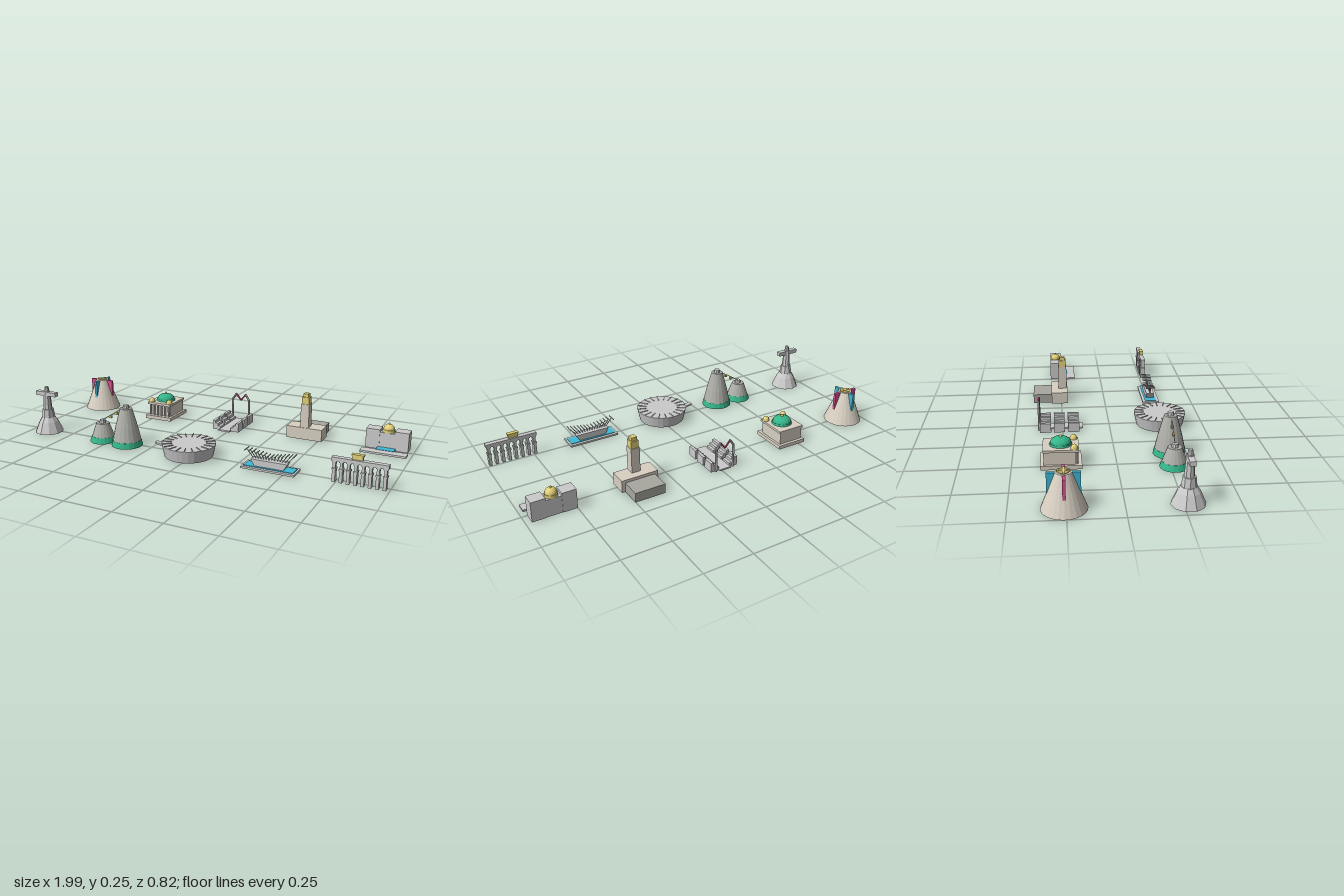
import * as THREE from 'three';

const mats = {};
const mat = (c) => (mats[c] ??= new THREE.MeshStandardMaterial({ color: c, flatShading: true, side: THREE.DoubleSide }));
const GREY = 0xcccccc, BEIGE = 0xd8d0c2, YELLOW = 0xe4d27a, GREEN = 0x35b58a, BLUE = 0x40b8d6, PINK = 0xd8508f;

const add = (g, name, geo, color = GREY, x = 0, y = 0, z = 0) => {
  const m = new THREE.Mesh(geo, mat(color));
  m.name = name;
  m.position.set(x, y, z);
  g.add(m);
  return m;
};
// Box given by its bottom centre and its size
const box = (g, name, x, y, z, w, h, d, c) => add(g, name, new THREE.BoxGeometry(w, h, d), c, x, y + h / 2, z);
// Upright frustum given by its bottom centre
const cyl = (g, name, x, y, z, rBottom, rTop, h, n, c) =>
  add(g, name, new THREE.CylinderGeometry(rTop, rBottom, h, n), c, x, y + h / 2, z);
const dome = (g, name, x, y, z, r, h, c) => {
  const m = add(g, name, new THREE.SphereGeometry(r, 14, 5, 0, Math.PI * 2, 0, Math.PI / 2), c, x, y, z);
  m.scale.y = h / r;
  return m;
};
// Straight rod between two points
const rod = (g, name, a, b, r, c) => {
  const from = new THREE.Vector3(...a), dir = new THREE.Vector3(...b).sub(from);
  const m = add(g, name, new THREE.CylinderGeometry(r, r, dir.length(), 6), c);
  m.position.copy(from).addScaledVector(dir, 0.5);
  m.quaternion.setFromUnitVectors(new THREE.Vector3(0, 1, 0), dir.normalize());
  return m;
};

function statue(g) {
  const profile = [[0, 0], [0.078, 0], [0.052, 0.06], [0.036, 0.085], [0, 0.085]].map((p) => new THREE.Vector2(...p));
  add(g, 'hill', new THREE.LatheGeometry(profile, 10));
  cyl(g, 'pedestal', 0, 0.08, 0, 0.036, 0.03, 0.05, 8);
  cyl(g, 'robe', 0, 0.13, 0, 0.024, 0.017, 0.1, 8);
  box(g, 'arms', 0, 0.205, 0, 0.128, 0.022, 0.028);
  cyl(g, 'head', 0, 0.228, 0, 0.014, 0.01, 0.027, 8);
}

function mountains(g) {
  for (const [name, x, r, mid, top, h] of [['small', -0.075, 0.071, 0.052, 0.034, 0.1], ['tall', 0.075, 0.083, 0.059, 0.032, 0.2]]) {
    const rBand = r - (r - mid) * (0.03 / (h * 0.5));
    cyl(g, name + 'ForestBand', x, 0, 0, r, rBand, 0.03, 18, GREEN);
    const profile = [[rBand - 0.001, 0.03], [mid, h * 0.5], [top, h], [0, h]].map((p) => new THREE.Vector2(...p));
    add(g, name + 'Mountain', new THREE.LatheGeometry(profile, 18), 0xb0b0aa, x);
    cyl(g, name + 'Station', x, h, 0, 0.018, 0.015, 0.017, 8);
  }
  // Cable with cars hanging from it
  rod(g, 'cable', [-0.075, 0.115, 0], [0.075, 0.21, 0], 0.002);
  for (const t of [0.35, 0.6]) box(g, 'cableCar', -0.075 + 0.15 * t, 0.1 + 0.095 * t, 0, 0.016, 0.013, 0.012, YELLOW);
}

function stadium(g) {
  cyl(g, 'bowl', 0, 0.004, 0, 0.124, 0.138, 0.064, 28);
  for (let i = 0; i < 20; i++) {
    const a = (i / 20) * Math.PI * 2;
    const rib = box(g, 'roofRib', Math.cos(a) * 0.112, 0.066, Math.sin(a) * 0.112, 0.05, 0.006, 0.004);
    rib.rotation.y = -a;
  }
  const ramp = box(g, 'ramp', -0.155, 0.03, 0, 0.075, 0.01, 0.025);
  ramp.rotation.z = -0.2;
}

function finnedMuseum(g) {
  box(g, 'base', 0, 0, 0, 0.276, 0.01, 0.095);
  box(g, 'pool', 0, 0.009, 0, 0.256, 0.004, 0.064, BLUE);
  // Hall with ends leaning outward
  const s = new THREE.Shape([[-0.075, 0.012], [0.075, 0.012], [0.095, 0.046], [-0.095, 0.046]].map((p) => new THREE.Vector2(...p)));
  add(g, 'hall', new THREE.ExtrudeGeometry(s, { depth: 0.044, bevelEnabled: false }), GREY, 0, 0, -0.022);
  // Fanned struts, each carrying a crossbar
  for (let i = 0; i < 14; i++) {
    const t = i / 6.5 - 1, x = t * 0.088, tip = x + t * 0.036, y = 0.066 + 0.022 * Math.abs(t);
    rod(g, 'strut', [x, 0.044, 0], [tip, y, 0], 0.0022);
    box(g, 'crossbar', tip, y - 0.002, 0, 0.004, 0.004, 0.054);
  }
}

function aqueduct(g) {
  for (let i = 0; i < 8; i++) {
    const x = -0.119 + i * 0.034;
    box(g, 'lowerPier', x, 0, 0, 0.015, 0.064, 0.028);
    box(g, 'pierCollar', x, 0.06, 0, 0.02, 0.008, 0.03);
    box(g, 'upperPier', x, 0.066, 0, 0.013, 0.042, 0.022);
    box(g, 'capital', x, 0.098, 0, 0.022, 0.008, 0.024);
  }
  box(g, 'deck', 0, 0.104, 0, 0.266, 0.018, 0.026);
  box(g, 'tramBody', -0.012, 0.124, 0, 0.05, 0.018, 0.018, YELLOW);
  box(g, 'tramRoof', -0.012, 0.142, 0, 0.058, 0.007, 0.022, YELLOW);
}

function cathedral(g) {
  cyl(g, 'cone', 0, 0, 0, 0.102, 0.036, 0.172, 24, BEIGE);
  // Upright window panels emerging from the cone
  for (const k of [-1, 1]) {
    box(g, 'pinkPanel', k * 0.05, 0.07, 0, 0.046, 0.1, 0.014, PINK);
    box(g, 'bluePanel', 0, 0.07, k * 0.05, 0.014, 0.1, 0.046, BLUE);
  }
  cyl(g, 'topDisc', 0, 0.17, 0, 0.026, 0.026, 0.006, 16, YELLOW);
  box(g, 'skylight', 0, 0.173, 0, 0.06, 0.006, 0.01, YELLOW);
  box(g, 'skylight', 0, 0.173, 0, 0.01, 0.006, 0.06, YELLOW);
}

function theatre(g) {
  box(g, 'plinth', 0, 0, 0, 0.164, 0.02, 0.197, BEIGE);
  box(g, 'hall', 0, 0.02, -0.007, 0.138, 0.07, 0.152, BEIGE);
  box(g, 'cornice', 0, 0.084, 0, 0.15, 0.012, 0.17, BEIGE);
  for (let i = 0; i < 6; i++) cyl(g, 'column', -0.06 + i * 0.024, 0.02, 0.076, 0.006, 0.006, 0.066, 8);
  cyl(g, 'domeDrum', 0, 0.095, 0, 0.055, 0.052, 0.01, 14, GREEN);
  dome(g, 'mainDome', 0, 0.104, 0, 0.05, 0.032, GREEN);
  dome(g, 'finial', 0, 0.133, 0, 0.008, 0.012, YELLOW);
  for (const k of [-1, 1]) dome(g, 'cornerDome', k * 0.057, 0.095, 0.063, 0.018, 0.024, YELLOW);
}

function paradeAvenue(g) {
  box(g, 'avenue', 0, 0, 0.003, 0.066, 0.008, 0.24);
  // Stepped grandstands on both sides
  const steps = [[0.03, 0], [0.078, 0], [0.078, 0.05], [0.062, 0.05], [0.062, 0.035], [0.046, 0.035], [0.046, 0.02], [0.03, 0.02]];
  const geo = new THREE.ExtrudeGeometry(new THREE.Shape(steps.map((p) => new THREE.Vector2(...p))), { depth: 0.058, bevelEnabled: false });
  geo.translate(0, 0, -0.029);
  for (const z of [-0.075, -0.002, 0.073])
    for (const a of [0, Math.PI]) add(g, 'grandstand', geo, GREY, 0, 0, z).rotation.y = a;
  // Arch with a dipped middle
  for (const k of [-1, 1]) {
    rod(g, 'archLeg', [k * 0.05, 0, -0.108], [k * 0.05, 0.128, -0.108], 0.006);
    rod(g, 'archShoulder', [k * 0.05, 0.126, -0.108], [k * 0.028, 0.158, -0.108], 0.006);
    rod(g, 'archDip', [k * 0.03, 0.158, -0.108], [0, 0.122, -0.108], 0.005, PINK);
  }
}

function clockTower(g) {
  box(g, 'frontHall', 0, 0, 0, 0.197, 0.065, 0.092, BEIGE);
  box(g, 'rearShed', 0, 0, -0.097, 0.16, 0.05, 0.106, 0xa8a8a0);
  box(g, 'tower', 0, 0.06, 0.018, 0.046, 0.135, 0.048, BEIGE);
  box(g, 'clockStage', 0, 0.195, 0.018, 0.04, 0.038, 0.041, YELLOW);
  box(g, 'towerCap', 0, 0.233, 0.018, 0.028, 0.018, 0.029, YELLOW);
}

function domedMuseum(g) {
  box(g, 'forecourt', 0, 0, 0.085, 0.238, 0.01, 0.052);
  box(g, 'pool', 0, 0, 0.045, 0.094, 0.012, 0.044, BLUE);
  for (const k of [-1, 1]) box(g, 'wing', k * 0.075, 0, -0.007, 0.072, 0.104, 0.065);
  box(g, 'centre', 0, 0, -0.007, 0.08, 0.09, 0.06);
  cyl(g, 'domeDrum', 0, 0.09, -0.007, 0.032, 0.032, 0.015, 14, YELLOW);
  dome(g, 'dome', 0, 0.105, -0.007, 0.029, 0.028, YELLOW);
  dome(g, 'domeTip', 0, 0.13, -0.007, 0.006, 0.01, YELLOW);
}

export function createModel() {
  const root = new THREE.Group();
  root.name = 'landmarkSet';
  // Two rows of five landmarks
  const layout = [
    ['statue', statue, -0.9, 0.27], ['twinMountains', mountains, -0.465, 0.268], ['stadium', stadium, -0.02, 0.27],
    ['finnedMuseum', finnedMuseum, 0.42, 0.265], ['aqueduct', aqueduct, 0.858, 0.27],
    ['coneCathedral', cathedral, -0.9, -0.259], ['theatre', theatre, -0.457, -0.265], ['paradeAvenue', paradeAvenue, -0.02, -0.265],
    ['clockTower', clockTower, 0.421, -0.26], ['domedMuseum', domedMuseum, 0.86, -0.272],
  ];
  for (const [name, build, x, z] of layout) {
    const g = new THREE.Group();
    g.name = name;
    build(g);
    g.position.set(x, 0, z);
    root.add(g);
  }
  return root;
}
